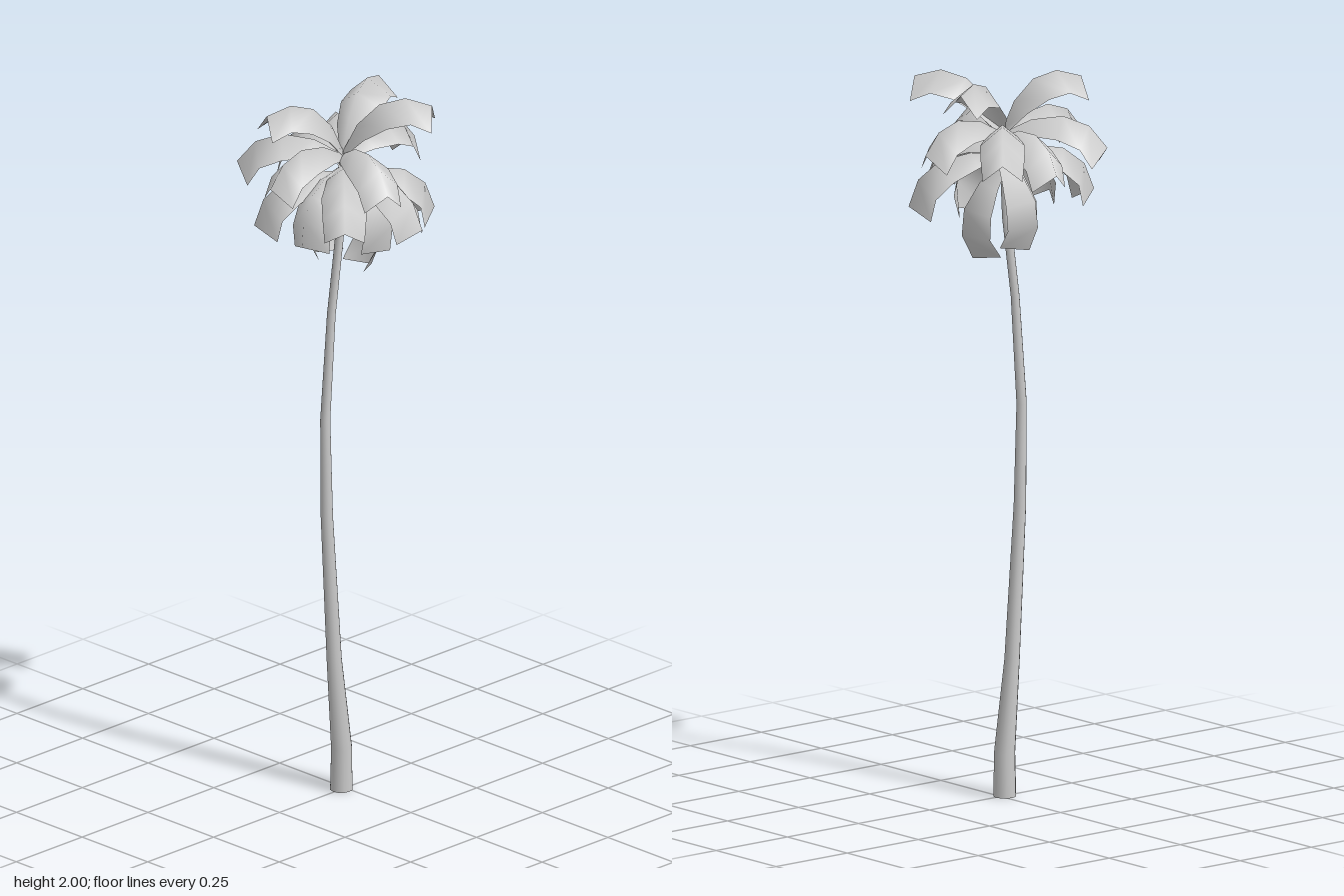
import * as THREE from 'three';

const material = new THREE.MeshStandardMaterial({ color: 0xcccccc });
const leafMaterial = new THREE.MeshStandardMaterial({ color: 0xcccccc, side: THREE.DoubleSide });
const CROWN = new THREE.Vector3(-0.012, 1.845, -0.004);

// Bent, tapering trunk, open at the foot: each ring is [y, x, z, radius]
function trunkGeometry() {
  const rings = [
    [0, -0.003, 0.012, 0.031], [0.12, -0.003, 0.011, 0.029], [0.38, -0.012, 0.03, 0.021],
    [0.8, -0.016, 0.054, 0.017], [1.08, -0.016, 0.06, 0.014], [1.38, -0.015, 0.038, 0.012],
    [1.6, -0.012, 0.01, 0.012], [1.84, -0.012, -0.004, 0.01],
  ];
  const sides = 12;
  const geo = new THREE.CylinderGeometry(1, 1, 1, sides, rings.length - 1, true);
  const pos = geo.attributes.position;
  for (let i = 0; i < pos.count; i++) {
    // cylinder rows run from the top down
    const [y, x, z, r] = rings[rings.length - 1 - Math.floor(i / (sides + 1))];
    pos.setXYZ(i, x + pos.getX(i) * r, y, z + pos.getZ(i) * r);
  }
  return geo;
}

// Arched leaf along +x: a raised ridge, edges folded down like a tent, a pointed tip
function leafGeometry() {
  // [ridge x, ridge y, edge x, edge y, half width]
  const rows = [
    [0, 0, 0, -0.012, 0.013], [0.07, 0.048, 0.075, 0.012, 0.045],
    [0.15, 0.07, 0.15, 0.016, 0.061], [0.22, 0.053, 0.21, -0.003, 0.059],
    [0.272, 0, 0.246, -0.052, 0.054],
  ];
  const verts = [], index = [];
  rows.forEach(([rx, ry, ex, ey, w], i) => {
    verts.push(ex, ey, -w, rx, ry, 0, ex, ey, w);
    if (i === 0) return;
    for (let j = 0; j < 2; j++) {
      const a = (i - 1) * 3 + j, b = a + 3;
      // diagonals mirror each other about the ridge
      if (j === 0) index.push(a, a + 1, b, b, a + 1, b + 1);
      else index.push(a, a + 1, b + 1, a, b + 1, b);
    }
  });
  const geo = new THREE.BufferGeometry();
  geo.setAttribute('position', new THREE.Float32BufferAttribute(verts, 3));
  geo.setIndex(index);
  geo.computeVertexNormals();
  return geo;
}

export function createModel() {
  const model = new THREE.Group();
  model.name = 'palmTree';

  const trunk = new THREE.Mesh(trunkGeometry(), material);
  trunk.name = 'trunk';
  model.add(trunk);

  // Tiers of leaves: [heading from +x towards +z, tilt, drop of the base, length]
  const tiers = {
    upperLeaf: [[-40, 30, 0, 1.02], [250, 31, 0, 0.97], [113, 31, 0, 0.95]],
    middleLeaf: [[20, -4, 0.01, 1.05], [90, -5, 0.01, 1.02], [140, -6, 0.01, 1.06],
      [220, -6, 0.01, 1.04], [270, -5, 0.01, 1]],
    lowerLeaf: [[44, -16, 0.04, 1.13], [185, -14, 0.02, 0.96], [-6, -22, 0.05, 1.09],
      [295, -26, 0.07, 1.07], [114, -25, 0.06, 1.04], [76, -38, 0.04, 1]],
    hangingLeaf: [[172, -69, 0.065, 1], [284, -71, 0.09, 1], [-4, -52, 0.03, 1]],
  };
  const crown = new THREE.Group();
  crown.name = 'crown';
  crown.position.copy(CROWN);
  const geo = leafGeometry();
  for (const [name, leaves] of Object.entries(tiers)) {
    for (const [heading, tilt, drop, length] of leaves) {
      const leaf = new THREE.Mesh(geo, leafMaterial);
      leaf.name = name;
      leaf.position.y = -drop;
      leaf.rotation.set(0, -THREE.MathUtils.degToRad(heading), THREE.MathUtils.degToRad(tilt));
      leaf.scale.x = length;
      crown.add(leaf);
    }
  }
  model.add(crown);
  return model;
}
